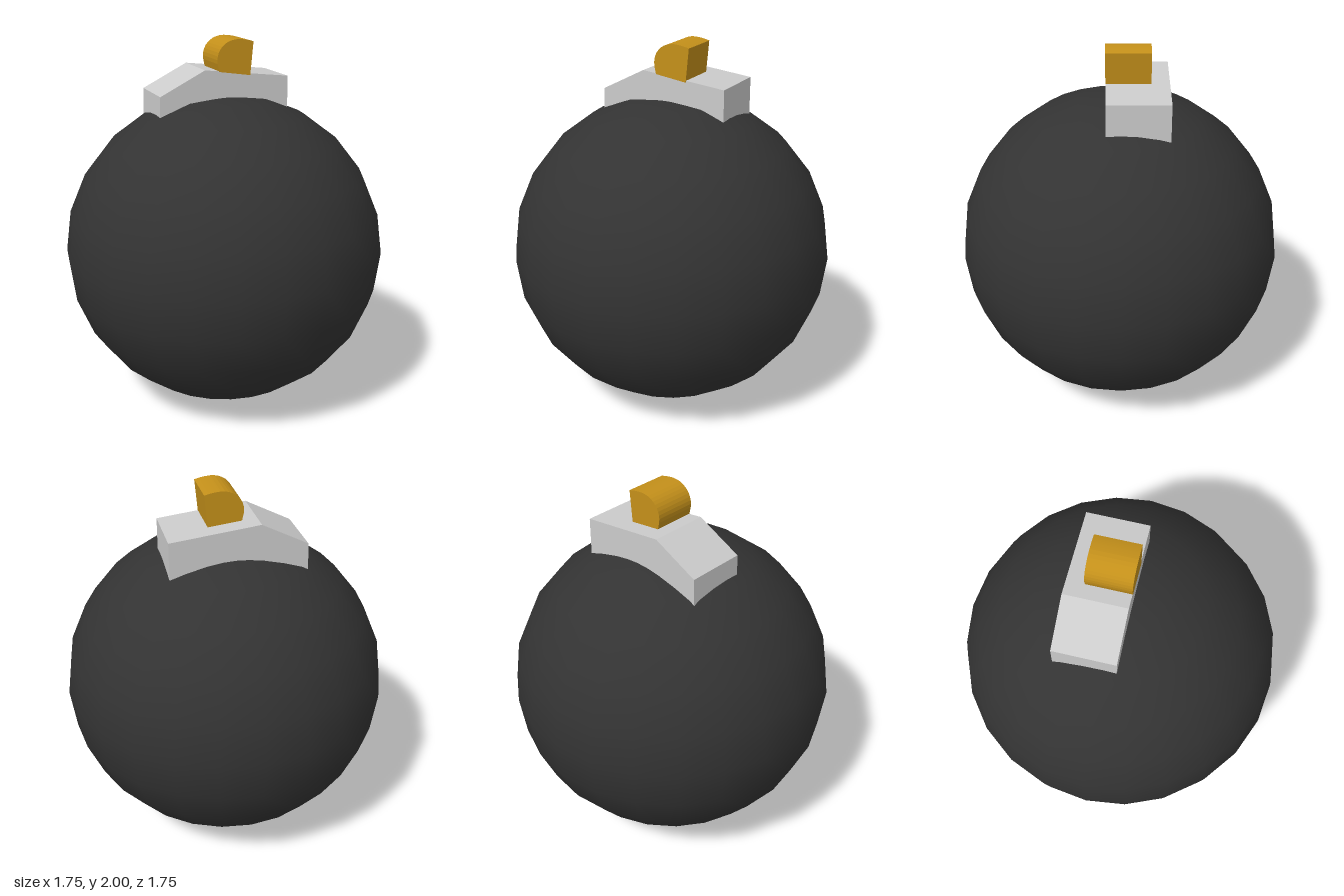
import * as THREE from 'three';

// Extrude a front-facing outline between two depths
function slab(name, shape, zBack, zFront, color) {
  const geometry = new THREE.ExtrudeGeometry(shape, {
    depth: zFront - zBack, bevelEnabled: false, curveSegments: 10,
  });
  geometry.translate(0, 0, zBack);
  const mesh = new THREE.Mesh(geometry, new THREE.MeshStandardMaterial({ color }));
  mesh.name = name;
  return mesh;
}

export function createModel() {
  const model = new THREE.Group();
  model.name = 'ballWithCap';

  // Slightly squashed ball
  const ball = new THREE.Mesh(
    new THREE.SphereGeometry(1, 24, 12),
    new THREE.MeshStandardMaterial({ color: 0x333333 }),
  );
  ball.name = 'ball';
  ball.scale.set(0.873, 0.853, 0.873);
  ball.position.y = 0.853;
  model.add(ball);

  // Ridged base, sunk into the top of the ball
  const base = new THREE.Shape([
    [-0.38, 1.55], [0.34, 1.55], [0.34, 1.795], [-0.13, 1.846], [-0.375, 1.72],
  ].map(([x, y]) => new THREE.Vector2(x, y)));
  model.add(slab('base', base, -0.252, 0.072, 0xcccccc));

  // Block with one rounded upper edge, resting on the base
  const block = new THREE.Shape();
  block.moveTo(-0.052, 1.834);
  block.lineTo(0.122, 1.809);
  block.lineTo(0.139, 1.986);
  block.quadraticCurveTo(0.1, 1.998, 0.055, 2);
  block.bezierCurveTo(-0.02, 2, -0.072, 1.945, -0.061, 1.875);
  block.closePath();
  model.add(slab('roundedBlock', block, -0.158, 0.074, 0xc4901a));

  return model;
}
